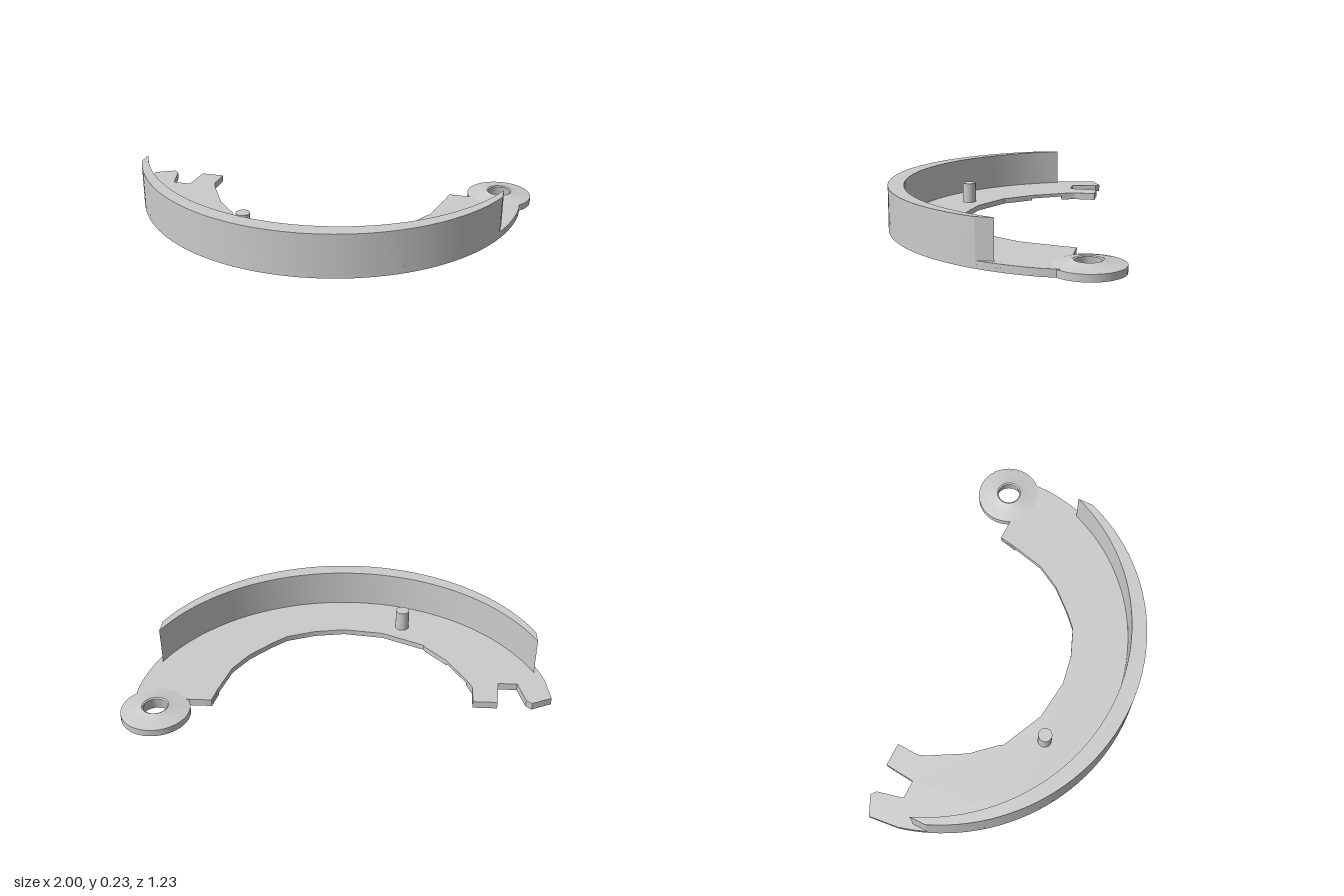
import * as THREE from 'three';
import { toCreasedNormals } from 'three/addons/utils/BufferGeometryUtils.js';

const MID_X = -0.03, RADIUS = 0.984, CENTRE_Z = -0.374;

// Points [x, z] on the shoe's outer arc between two x values, moved by dz
function arc(x0, x1, dz = 0, n = 40) {
  const a0 = Math.acos((x0 - MID_X) / RADIUS), a1 = Math.acos((x1 - MID_X) / RADIUS);
  return Array.from({ length: n + 1 }, (_, i) => {
    const a = a0 + (a1 - a0) * i / n;
    return [MID_X + RADIUS * Math.cos(a), CENTRE_Z + dz + RADIUS * Math.sin(a)];
  });
}

// Upright slab from a plan outline in x, z
function slab(outline, y0, y1) {
  const shape = new THREE.Shape(outline.map(([x, z]) => new THREE.Vector2(x, -z)));
  const g = new THREE.ExtrudeGeometry(shape, { depth: y1 - y0, bevelEnabled: false });
  g.rotateX(-Math.PI / 2).translate(0, y0, 0);
  return toCreasedNormals(g, 0.4);
}

export function createModel() {
  const model = new THREE.Group();
  const material = new THREE.MeshStandardMaterial({ color: 0xcccccc });
  const add = (name, geometry) => {
    const mesh = new THREE.Mesh(geometry, material);
    mesh.name = name;
    model.add(mesh);
    return mesh;
  };

  // Crescent web with a notched fork at one end and a tab for the eye at the other
  const fork = [[-0.76, -0.18], [-0.85, -0.18], [-0.88, -0.31], [-0.905, -0.33], [-1, -0.285]];
  const forkTip = [[-0.62, -0.18], [-0.635, -0.22], [-0.63, -0.33], [-0.745, -0.33]];
  const tab = [[0.95, -0.36], [0.84, -0.36], [0.75, -0.38], [0.59, -0.38]];
  const innerEdge = [
    [0.575, -0.3], [0.53, -0.12], [0.46, 0], [0.36, 0.11], [0.29, 0.175], [0.15, 0.23],
    [0, 0.255], [-0.2, 0.23], [-0.41, 0.13], [-0.42, 0.11], [-0.52, 0],
  ];
  add('webPlate', slab([
    ...fork, ...arc(-0.985, 0.95), ...tab, ...innerEdge, ...forkTip,
  ], 0.028, 0.045));

  // Thicker pads under both ends, following the outer edge
  add('forkPad', slab([
    ...fork, ...arc(-0.985, -0.92, 0, 5), [-0.9, -0.1], [-0.61, -0.15], ...forkTip,
  ], 0.01, 0.028));
  add('eyePad', slab([
    ...arc(0.88, 0.95, 0, 6), ...tab, [0.57, -0.29], [0.91, -0.29],
  ], 0.01, 0.028));
  // Lip along the inner edge of the web
  add('innerLip', slab([
    ...innerEdge, ...innerEdge.map(([x, z]) => [x + (x - MID_X) * 0.015, z + 0.012]).reverse(),
  ], 0.018, 0.028));

  // Curved friction rim, tapering to a thin edge at both ends
  add('frictionRim', slab([
    ...arc(-0.94, 0.88, 0, 48), ...arc(0.88, -0.94, -0.08, 48),
  ], 0.01, 0.227));

  // Pivot eye: domed ring with a short collar above and below
  const ring = [
    [0.065, 0], [0.075, 0], [0.075, 0.01], [0.16, 0.01], [0.16, 0.043],
    [0.13, 0.049], [0.085, 0.054], [0.062, 0.062], [0.055, 0.058], [0.065, 0],
  ].map(([r, y]) => new THREE.Vector2(r, y));
  const eye = add('pivotEye', toCreasedNormals(new THREE.LatheGeometry(ring, 40), 0.5));
  eye.position.set(0.837, 0, -0.457);

  // Spring pin through the web and a short stub below it
  const pin = (name, x, z, y0, y1) =>
    add(name, new THREE.CylinderGeometry(0.034, 0.034, y1 - y0, 24)).position.set(x, (y0 + y1) / 2, z);
  pin('springPin', -0.3, 0.3, 0.01, 0.145);
  pin('lowerStub', -0.65, 0.2, 0.01, 0.035);

  return model;
}
